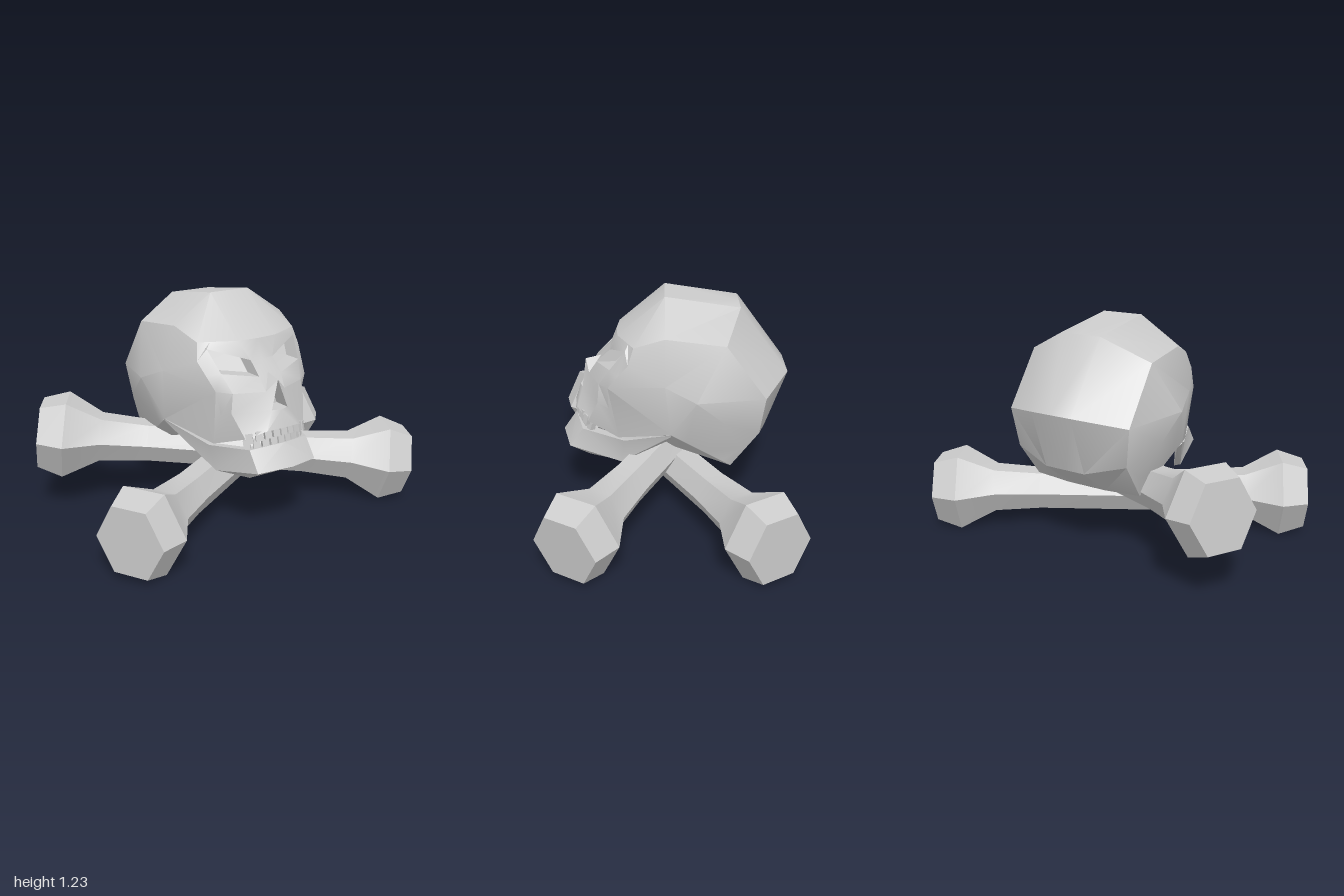
import * as THREE from 'three';
import { toCreasedNormals } from 'three/addons/utils/BufferGeometryUtils.js';

const material = new THREE.MeshStandardMaterial({ color: 0xcccccc, side: THREE.DoubleSide });

function addMesh(parent, name, geometry, crease = 0.55) {
  const mesh = new THREE.Mesh(toCreasedNormals(geometry, crease), material);
  mesh.name = name;
  parent.add(mesh);
  return mesh;
}

// Quads between neighbouring rows; columns run from the centre line to +x.
function grid(rows, skip = () => false) {
  const polys = [];
  for (let r = 0; r < rows.length - 1; r++)
    for (let c = 0; c < rows[r].length - 1; c++)
      if (!skip(r, c)) polys.push([rows[r][c], rows[r + 1][c], rows[r + 1][c + 1], rows[r][c + 1]]);
  return polys;
}

// A hollow behind an outline: walls plus a back face.
function recess(loop, depth, firstWall = 0) {
  const back = loop.map(([x, y, z]) => [x, y, z - depth]);
  const polys = [back];
  for (let k = firstWall; k < loop.length; k++) {
    const n = (k + 1) % loop.length;
    polys.push([loop[k], loop[n], back[n], back[k]]);
  }
  return polys;
}

// Fans each polygon into triangles and mirrors it across x = 0.
function mirrored(polys) {
  const pos = [];
  for (const p of polys)
    for (let i = 1; i < p.length - 1; i++) {
      const tri = [p[0], p[i], p[i + 1]].map(v => new THREE.Vector3(...v));
      const area = tri[1].clone().sub(tri[0]).cross(tri[2].clone().sub(tri[0])).length();
      if (area < 1e-7) continue;
      for (const v of tri) pos.push(v.x, v.y, v.z);
      for (const v of tri.reverse()) pos.push(-v.x, v.y, v.z);
    }
  const g = new THREE.BufferGeometry();
  g.setAttribute('position', new THREE.Float32BufferAttribute(pos, 3));
  return g;
}

function buildSkull() {
  const skull = new THREE.Group();
  skull.name = 'skull';

  // Cranium: rows from the nape over the crown to the forehead
  const nape = [[0, .34, -.33], [.12, .34, -.33], [.33, .35, -.32], [.33, .35, -.32], [.33, .35, -.32]];
  const hinge = [.40, .57, 0];
  const cranium = [
    nape,
    [[0, .49, -.52], [.12, .49, -.52], [.34, .55, -.465], [.36, .47, -.37], [.341, .384, -.27]],
    [[0, .81, -.63], [.12, .81, -.63], [.37, .76, -.49], [.435, .65, -.28], [.361, .446, -.18]],
    [[0, 1.17, -.365], [.12, 1.17, -.365], [.37, 1.05, -.28], [.465, .78, -.13], [.383, .515, -.08]],
    [[0, 1.23, .03], [.12, 1.23, .03], [.345, 1.08, .03], [.42, .85, .03], hinge],
    [[0, 1.02, .29], [.12, 1.02, .28], [.31, 1.02, .19], [.33, .93, .22], [.29, .79, .33]],
  ];
  addMesh(skull, 'cranium', mirrored(grid(cranium)));

  // Face: rows from the forehead to the upper jaw
  const face = [
    [[0, 1.02, .29], [.12, 1.02, .28], [.25, 1.02, .218], [.31, 1.02, .19]],
    [[0, .92, .33], [.07, .92, .325], [.28, .99, .235], [.33, .93, .22]],
    [[0, .86, .38], [.07, .85, .40], [.25, .875, .32], [.31, .86, .275]],
    [[0, .84, .465], [.06, .78, .445], [.22, .78, .38], [.29, .79, .33]],
    [[0, .69, .50], [.05, .69, .485], [.235, .68, .39], [.26, .66, .33]],
    [[0, .60, .53], [.10, .595, .515], [.19, .55, .45], [.27, .49, .28]],
  ];
  const eye = [face[1][1], face[2][1], face[2][2], face[1][2]];
  const nose = [face[3][0], face[4][0], face[4][1]];
  addMesh(skull, 'face', mirrored([
    ...grid(face, (r, c) => (r === 1 && c === 1) || (r === 3 && c === 0)),
    [face[3][0], face[4][1], face[3][1]],
    [face[3][3], face[4][3], face[5][3], hinge],
  ]));
  addMesh(skull, 'eyeSockets', mirrored(recess(eye, .1)));
  addMesh(skull, 'noseCavity', mirrored(recess(nose, .09, 1)));

  // Palate and skull base
  addMesh(skull, 'skullBase', mirrored(grid([
    face[5],
    [[0, .52, .2], [.1, .52, .2], [.2, .52, .17], [.335, .53, .14]],
    [[0, .44, 0], [.12, .44, 0], [.3, .45, -.02], hinge],
    nape.slice(0, 4),
  ])));

  // Lower jaw: four edges running from the chin to the hinge
  const topOuter = [[0, .52, .53], [.185, .50, .48], [.28, .475, .25], [.405, .572, 0]];
  const jaw = [
    topOuter,
    [[0, .41, .605], [.185, .395, .555], [.25, .33, .27], [.40, .56, 0]],
    [[0, .37, .50], [.16, .33, .45], [.20, .31, .28], [.37, .53, 0]],
    [[0, .49, .44], [.14, .48, .40], [.23, .47, .24], [.37, .55, 0]],
    topOuter,
  ];
  addMesh(skull, 'lowerJaw', mirrored(grid(jaw)));

  // Teeth along the two arches
  const toothRow = (name, y, z, droop) => {
    for (let i = 0; i < 9; i++) {
      const x = (i - 4) * .042;
      const tooth = addMesh(skull, name, new THREE.BoxGeometry(.036, .05, .03));
      tooth.position.set(x, y - droop * x * x, z - 2 * x * x);
      tooth.rotation.set(-.25, x * 4, 0);
    }
  };
  toothRow('upperTooth', .582, .51, 1.1);
  toothRow('lowerTooth', .527, .49, .6);
  return skull;
}

// Six-sided bone with a flared knob at each end
function buildBone(name, y, yaw, tilt) {
  const half = [[0, 1.045], [.185, 1.045], [.228, .905], [.13, .71], [.112, .45]];
  const profile = [
    ...half.map(([r, d]) => new THREE.Vector2(r, -d)),
    ...half.slice().reverse().map(([r, d]) => new THREE.Vector2(r, d)),
  ];
  const geometry = new THREE.LatheGeometry(profile, 6)
    .rotateZ(-Math.PI / 2).scale(1, 1.08, 1).rotateZ(tilt).rotateY(yaw).translate(0, y, 0);
  const bone = new THREE.Group();
  addMesh(bone, name, geometry);
  return bone.children[0];
}

export function createModel() {
  const model = new THREE.Group();
  model.name = 'skullAndCrossedBones';
  model.add(
    buildSkull(),
    buildBone('lowerBone', .215, Math.PI / 6, 0),
    buildBone('upperBone', .325, -Math.PI / 6, -.11),
  );
  return model;
}
